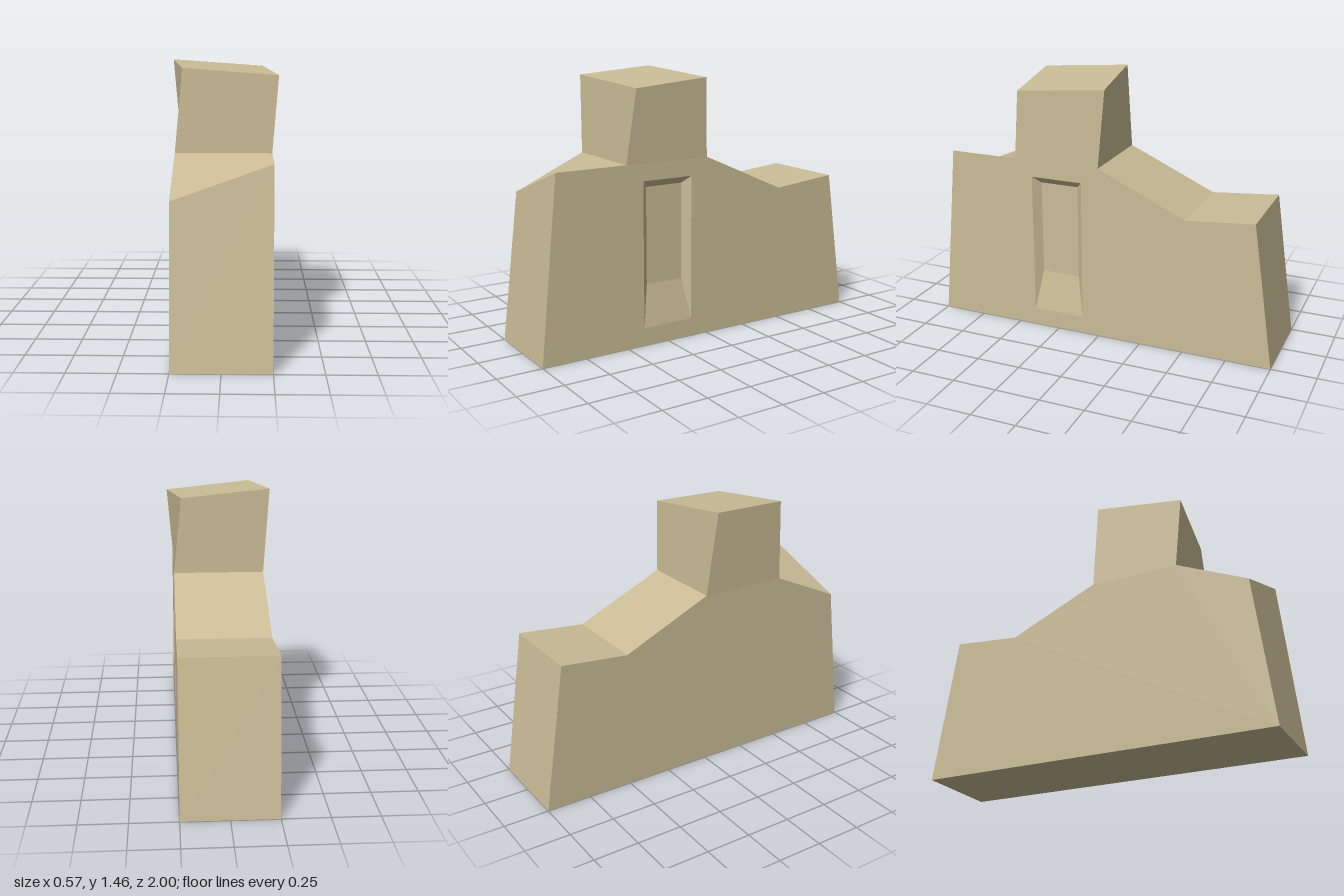
import * as THREE from 'three';
import { mergeGeometries } from 'three/addons/utils/BufferGeometryUtils.js';

const W = 0.25; // half width of the block

// Four-cornered face, counter-clockwise from outside, with one averaged normal
function quad(a, b, c, d) {
  const [A, B, C, D] = [a, b, c, d].map((p) => new THREE.Vector3(...p));
  const n = C.clone().sub(A).cross(D.clone().sub(B)).normalize();
  const g = new THREE.BufferGeometry().setFromPoints([A, B, C, A, C, D]);
  g.setAttribute('normal', new THREE.Float32BufferAttribute(Array(6).fill(n.toArray()).flat(), 3));
  return g;
}

// Flat side wall from [z, y] points, facing +x (side 1) or -x (side -1)
function wall(profile, side, hole) {
  const pts = (list) => list.map(([z, y]) => new THREE.Vector2(-side * z, y));
  const shape = new THREE.Shape(pts(profile));
  if (hole) shape.holes.push(new THREE.Path(pts(hole)));
  const g = new THREE.ShapeGeometry(shape).toNonIndexed();
  g.deleteAttribute('uv');
  return g.rotateY(side * Math.PI / 2).translate(side * W, 0, 0);
}

// Faces joining two four-cornered loops
const band = (lower, upper) => lower.map((p, i) => {
  const j = (i + 1) % 4;
  return quad(p, lower[j], upper[j], upper[i]);
});

export function createModel() {
  const group = new THREE.Group();
  const stone = new THREE.MeshStandardMaterial({ color: 0xcabc96 });
  stone.name = 'sandstone';

  const add = (name, parts) => {
    const mesh = new THREE.Mesh(mergeGeometries(parts), stone);
    mesh.name = name;
    group.add(mesh);
  };

  // Side outline, front to back; the front shoulder is lower at -x
  const outline = (shoulder) => [
    [1, 0], [0.9, shoulder], [0.5, 1], [0, 1], [-0.5, 0.775], [-0.88, 0.81], [-1, 0],
  ];
  const near = outline(1), far = outline(0.82);

  // Recess corners on the +x wall, [z, y]
  const rim = [[0.4, 0.1], [0.1, 0.1], [0.1, 0.905], [0.4, 0.905]];
  const floor = [[0.36, 0.33], [0.14, 0.33], [0.14, 0.865], [0.36, 0.865]];

  // Block: two walls and the strips running between them
  const block = [wall(near, 1, rim), wall(far, -1)];
  near.forEach(([z, y], i) => {
    if (i === 2) return; // covered by the tower
    const j = (i + 1) % near.length;
    block.push(quad(
      [-W, far[i][1], z], [W, y, z],
      [W, near[j][1], near[j][0]], [-W, far[j][1], far[j][0]],
    ));
  });
  add('block', block);

  // Recess: sloped edges and a shallow back panel
  const outer = rim.map(([z, y]) => [W, y, z]);
  const inner = floor.map(([z, y]) => [W - 0.04, y, z]);
  add('sideRecess', [...band(outer, inner), quad(...inner)]);

  // Tower: square foot with a turned, tilted and slightly flared top
  const foot = [[-W, 1, 0.5], [W, 1, 0.5], [W, 1, 0], [-W, 1, 0]];
  const head = [
    [-0.207, 1.435, 0.523], [0.283, 1.395, 0.455], [0.207, 1.425, -0.023], [-0.285, 1.462, 0.045],
  ];
  add('tower', [...band(foot, head), quad(...head)]);

  return group;
}
